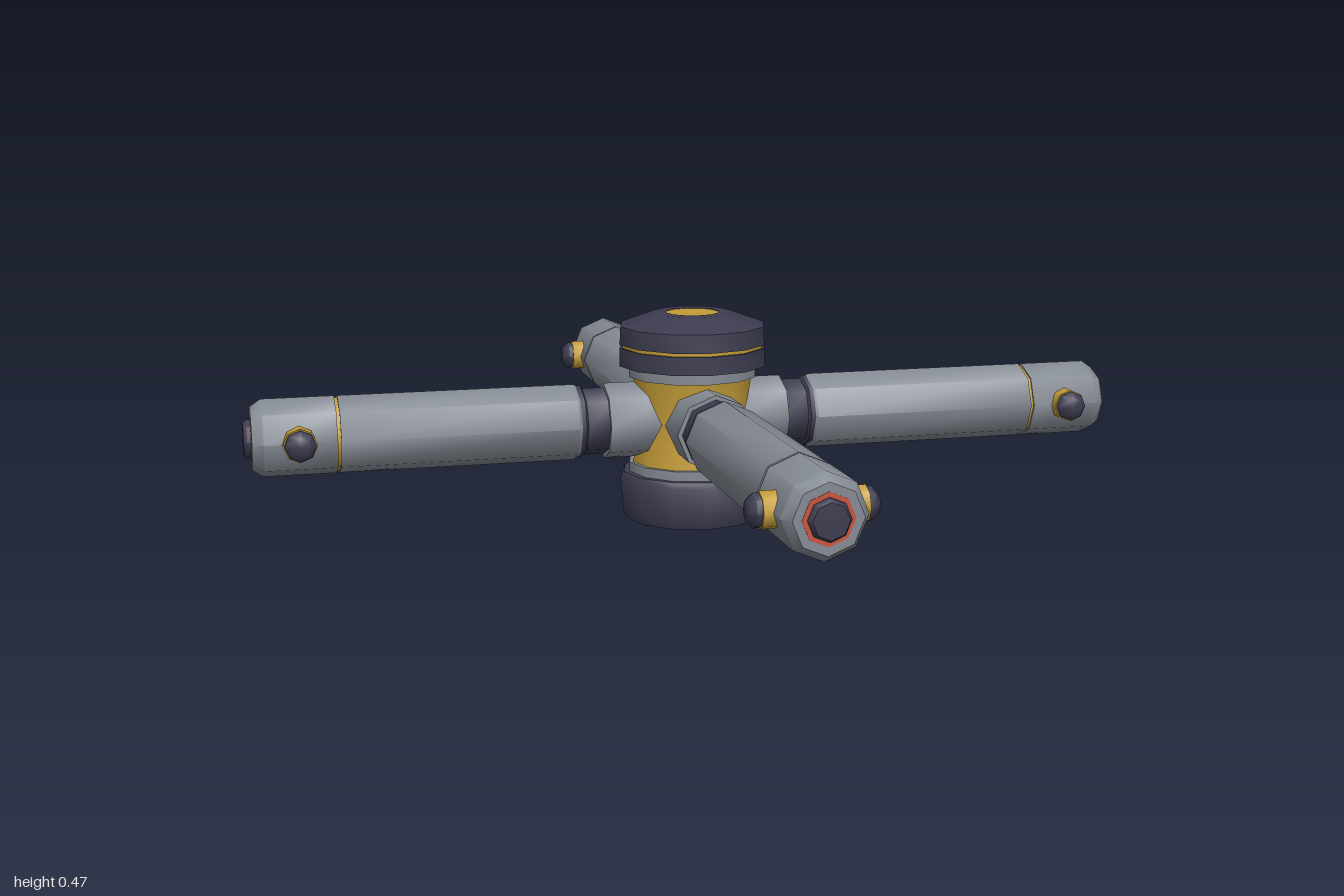
import * as THREE from 'three';
import { toCreasedNormals } from 'three/addons/utils/BufferGeometryUtils.js';

const material = (color) => new THREE.MeshStandardMaterial({ color });
const steel = material(0x858b94);
const dark = material(0x3d3c50);
const gold = material(0xc49c38);
const red = material(0xc8553d);

// Turned part: profile of [radius, height] pairs running from bottom to top
function turned(name, mat, sides, profile) {
  const points = profile.map(([r, y]) => new THREE.Vector2(r, y));
  const geometry = toCreasedNormals(new THREE.LatheGeometry(points, sides), 0.87);
  const mesh = new THREE.Mesh(geometry, mat);
  mesh.name = name;
  return mesh;
}

const drum = (name, mat, sides, r, y0, y1) =>
  turned(name, mat, sides, [[0, y0], [r, y0], [r, y1], [0, y1]]);

function createHub() {
  const hub = new THREE.Group();
  hub.name = 'hub';
  hub.add(
    turned('base', dark, 12, [[0, 0], [0.155, 0], [0.162, 0.02], [0.168, 0.095], [0.16, 0.108], [0, 0.108]]),
    drum('lowerRing', steel, 12, 0.147, 0.1, 0.13),
    turned('barrel', gold, 12, [[0, 0.12], [0.14, 0.12], [0.13, 0.18], [0.13, 0.28], [0.14, 0.34], [0, 0.34]]),
    drum('upperRing', steel, 12, 0.147, 0.325, 0.352),
    drum('capFlange', dark, 12, 0.168, 0.35, 0.391),
    drum('capSeam', gold, 12, 0.161, 0.388, 0.402),
    turned('cap', dark, 12, [[0, 0.399], [0.168, 0.399], [0.166, 0.44], [0.09, 0.468], [0.06, 0.468], [0.06, 0.462], [0, 0.462]]),
    drum('capLight', gold, 16, 0.06, 0.455, 0.467),
  );
  return hub;
}

// Side stud, built along y from the arm surface outwards
function createStud() {
  const stud = new THREE.Group();
  stud.name = 'stud';
  stud.add(
    drum('studBase', gold, 8, 0.037, 0.06, 0.104),
    turned('studCap', dark, 8, [[0, 0.102], [0.034, 0.102], [0.034, 0.115], [0.02, 0.128], [0, 0.128]]),
  );
  return stud;
}

// Arm, built along y then laid down to point along +x
function createArm() {
  const arm = new THREE.Group();
  arm.name = 'armBody';
  arm.add(
    drum('socket', steel, 8, 0.086, 0.06, 0.206),
    turned('neck', dark, 8, [[0, 0.2], [0.076, 0.2], [0.076, 0.255], [0.083, 0.26], [0.083, 0.275], [0, 0.275]]),
    turned('tube', steel, 8, [[0, 0.27], [0.083, 0.27], [0.086, 0.276], [0.086, 0.797], [0, 0.797]]),
    drum('seam', gold, 8, 0.082, 0.79, 0.81),
    turned('endCap', steel, 8, [[0, 0.804], [0.086, 0.804], [0.086, 0.96], [0.07, 0.984], [0.052, 0.984], [0.052, 0.975], [0, 0.975]]),
    drum('tipRing', red, 8, 0.052, 0.97, 0.985),
    turned('tip', dark, 8, [[0, 0.97], [0.042, 0.97], [0.042, 0.993], [0.036, 1], [0, 1]]),
  );
  for (const side of [1, -1]) {
    const stud = createStud();
    stud.position.y = 0.885;
    stud.rotation.x = side * Math.PI / 2;
    arm.add(stud);
  }
  arm.rotation.z = -Math.PI / 2;
  return arm;
}

export function createModel() {
  const model = new THREE.Group();
  model.name = 'fourArmedHub';
  model.add(createHub());
  // Four equal arms around the hub
  ['leftArm', 'backArm', 'rightArm', 'frontArm'].forEach((name, i) => {
    const pivot = new THREE.Group();
    pivot.name = name;
    pivot.position.y = 0.228;
    pivot.rotation.y = i * Math.PI / 2;
    pivot.add(createArm());
    model.add(pivot);
  });
  return model;
}
